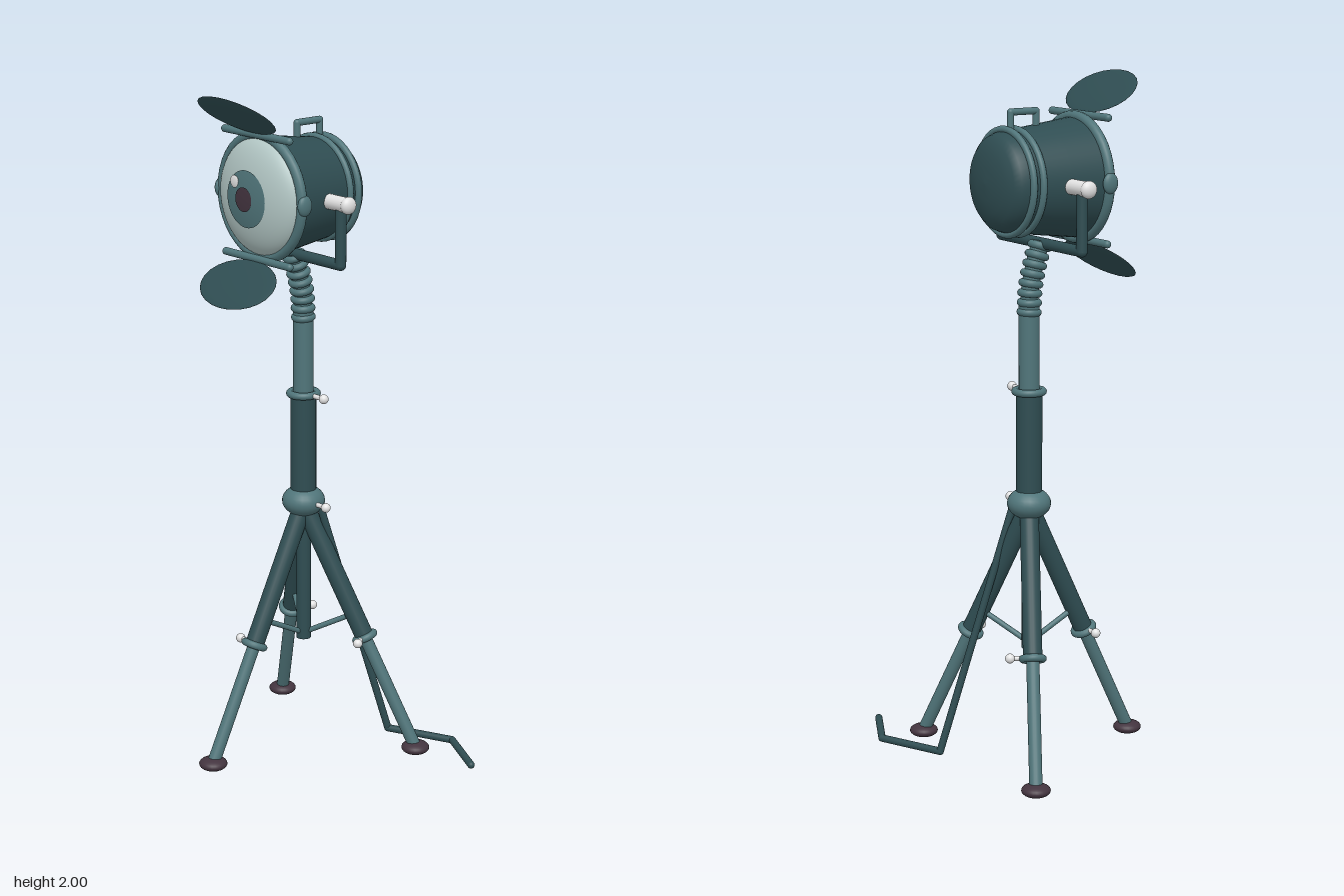
import * as THREE from 'three';

const mat = (name, color) => Object.assign(new THREE.MeshStandardMaterial({ color }), { name });
const V = (x, y, z) => new THREE.Vector3(x, y, z);

export function createModel() {
  const dark = mat('dark teal', 0x2f4d52);
  const mid = mat('mid teal', 0x50757a);
  const lensGrey = mat('lens grey', 0xb2c6c4);
  const white = mat('white', 0xe2e2e2);
  const plum = mat('dark plum', 0x43343f);

  const model = new THREE.Group();
  model.name = 'studioSpotlight';
  const CX = -0.08, CZ = -0.04, LY = 1.705;

  const add = (name, geo, m, pos = V(0, 0, 0), parent = model) => {
    const mesh = new THREE.Mesh(geo, m);
    mesh.name = name;
    mesh.position.copy(pos);
    parent.add(mesh);
    return mesh;
  };
  const aim = (mesh, axis, dir) => mesh.quaternion.setFromUnitVectors(axis, dir.clone().normalize());
  const UP = V(0, 1, 0), FRONT = V(0, 0, 1);
  // straight tube between two points
  const rod = (name, a, b, r, m, parent) => {
    const d = b.clone().sub(a);
    const mesh = add(name, new THREE.CylinderGeometry(r, r, d.length(), 20), m, a.clone().add(b).multiplyScalar(0.5), parent);
    aim(mesh, UP, d);
    return mesh;
  };
  const ball = (name, p, r, m, s = [1, 1, 1], parent) => {
    const mesh = add(name, new THREE.SphereGeometry(r, 24, 16), m, p, parent);
    mesh.scale.set(...s);
    return mesh;
  };
  const ring = (name, p, dir, R, r, m, parent) => {
    const mesh = add(name, new THREE.TorusGeometry(R, r, 12, 40), m, p, parent);
    aim(mesh, FRONT, dir);
    return mesh;
  };
  // chain of rods with round joints
  const chain = (name, pts, r, m) => {
    const g = new THREE.Group();
    g.name = name;
    model.add(g);
    pts.forEach((p, i) => {
      ball(name + 'Joint', p, r, m, [1, 1, 1], g);
      if (i) rod(name + 'Segment', pts[i - 1], p, r, m, g);
    });
  };
  // tightening screw: stem and round head
  const screw = (p, dir, len, parent) => {
    const end = p.clone().addScaledVector(dir, len);
    rod('screwStem', p, end, 0.007, white, parent);
    ball('screwHead', end, 0.014, white, [1, 1, 1], parent);
  };
  // lathe turned around the z axis; profile is [radius, z]
  const turnedZ = (pts) => new THREE.LatheGeometry(pts.map(p => new THREE.Vector2(...p)), 48).rotateX(Math.PI / 2);

  // Column
  const col = (y) => V(CX, y, CZ);
  rod('centrePost', col(0.335), col(0.77), 0.022, dark);
  rod('lowerTube', col(0.77), col(1.1), 0.038, dark);
  rod('upperTube', col(1.08), col(1.35), 0.03, mid);
  ring('columnCollar', col(1.1), UP, 0.04, 0.011, mid);
  screw(V(CX + 0.03, 1.1, CZ), V(1, 0, 0), 0.06);
  ball('hub', col(0.77), 0.064, mid, [1, 0.72, 1]);
  screw(V(CX + 0.05, 0.77, CZ), V(1, 0, 0), 0.05);

  // Tripod legs
  for (let i = 0; i < 3; i++) {
    const a = Math.PI / 2 + i * Math.PI * 2 / 3;
    const out = V(Math.cos(a), 0, Math.sin(a));
    const side = V(-out.z, 0, out.x);
    const at = (y) => col(y).addScaledVector(out, 0.355 * (0.76 - y) / 0.735);
    const leg = new THREE.Group();
    leg.name = 'leg';
    model.add(leg);
    rod('upperLeg', at(0.76), at(0.36), 0.028, dark, leg);
    rod('lowerLeg', at(0.38), at(0.025), 0.019, mid, leg);
    ring('legCollar', at(0.36), at(0).sub(at(1)), 0.029, 0.011, mid, leg);
    screw(at(0.362).addScaledVector(side, 0.02), side, 0.045, leg);
    rod('brace', at(0.43), col(0.35), 0.008, mid, leg);
    ball('foot', at(0.025), 0.042, plum, [1, 0.46, 1], leg);
  }

  // Power cable
  chain('cable', [V(-0.03, 0.75, -0.065), V(0.055, 0.017, -0.265), V(0.25, 0.017, -0.35), V(0.418, 0.017, -0.265)], 0.011, dark);

  // Flexible neck
  const neck = new THREE.CatmullRomCurve3([col(1.33), V(CX, 1.4, -0.036), V(CX, 1.47, -0.02), V(CX, 1.53, 0)]);
  add('neckCore', new THREE.TubeGeometry(neck, 24, 0.026, 16), mid);
  for (let i = 0; i < 8; i++) {
    const t = i / 7.5;
    ring('neckRing', neck.getPointAt(t), neck.getTangentAt(t), 0.025, 0.011, mid);
  }

  // Yoke and side knobs
  chain('yoke', [[-1, 1.7], [-1, 1.525], [1, 1.525], [1, 1.7]].map(([s, y]) => V(CX + s * 0.206, y, 0)), 0.016, dark);
  for (const s of [-1, 1]) {
    rod('sideKnob', V(CX + s * 0.14, 1.7, 0), V(CX + s * 0.24, 1.7, 0), 0.022, white);
    ball('knobCap', V(CX + s * 0.238, 1.7, 0), 0.025, white, [0.7, 1, 1]);
    ball('rimLug', V(CX + s * 0.182, LY, 0.112), 0.03, mid, [0.45, 1, 0.8]);
  }

  // Lamp housing
  const head = V(CX, LY, 0);
  add('housing', turnedZ([[0, -0.188], [0.045, -0.186], [0.085, -0.178], [0.115, -0.166], [0.133, -0.15],
    [0.141, -0.13], [0.145, -0.1], [0.158, 0], [0.172, 0.112]]), dark, head);
  for (const z of [-0.088, -0.12]) ring('housingBand', V(CX, LY, z), FRONT, 0.148, 0.01, mid);
  ring('frontRim', V(CX, LY, 0.115), FRONT, 0.174, 0.015, mid);

  // Domed lens with iris, pupil and glint
  const dome = (R, lift) => {
    const pts = [];
    for (let i = 0; i <= 16; i++) {
      const r = R * Math.cos(i / 16 * Math.PI / 2);
      pts.push([i === 16 ? 0 : r, 0.112 + lift + 0.066 * Math.sqrt(Math.max(0, 1 - (r / 0.17) ** 2))]);
    }
    return turnedZ(pts);
  };
  add('lens', dome(0.17, 0), lensGrey, head);
  add('iris', dome(0.082, 0.003), mid, head);
  add('pupil', dome(0.035, 0.006), plum, head);
  ball('glint', V(CX - 0.045, LY + 0.045, 0.177), 0.018, white, [1, 1, 0.25]);

  // Barn door flaps on hinge bars
  for (const s of [-1, 1]) {
    const y = LY + s * 0.178;
    chain('hingeBar', [V(CX - 0.14, y, 0.132), V(CX + 0.14, y, 0.132)], 0.011, mid);
    const flap = ball('flap', V(CX, LY + s * 0.24, 0.205), 1, dark, [0.15, 0.007, 0.089]);
    flap.rotation.x = -s * Math.atan2(0.11, 0.13);
  }

  // Carry handle
  chain('handle', [[1.84, -0.017], [1.9, -0.017], [1.9, -0.102], [1.84, -0.102]].map(([y, z]) => V(CX, y, z)), 0.01, mid);

  return model;
}
